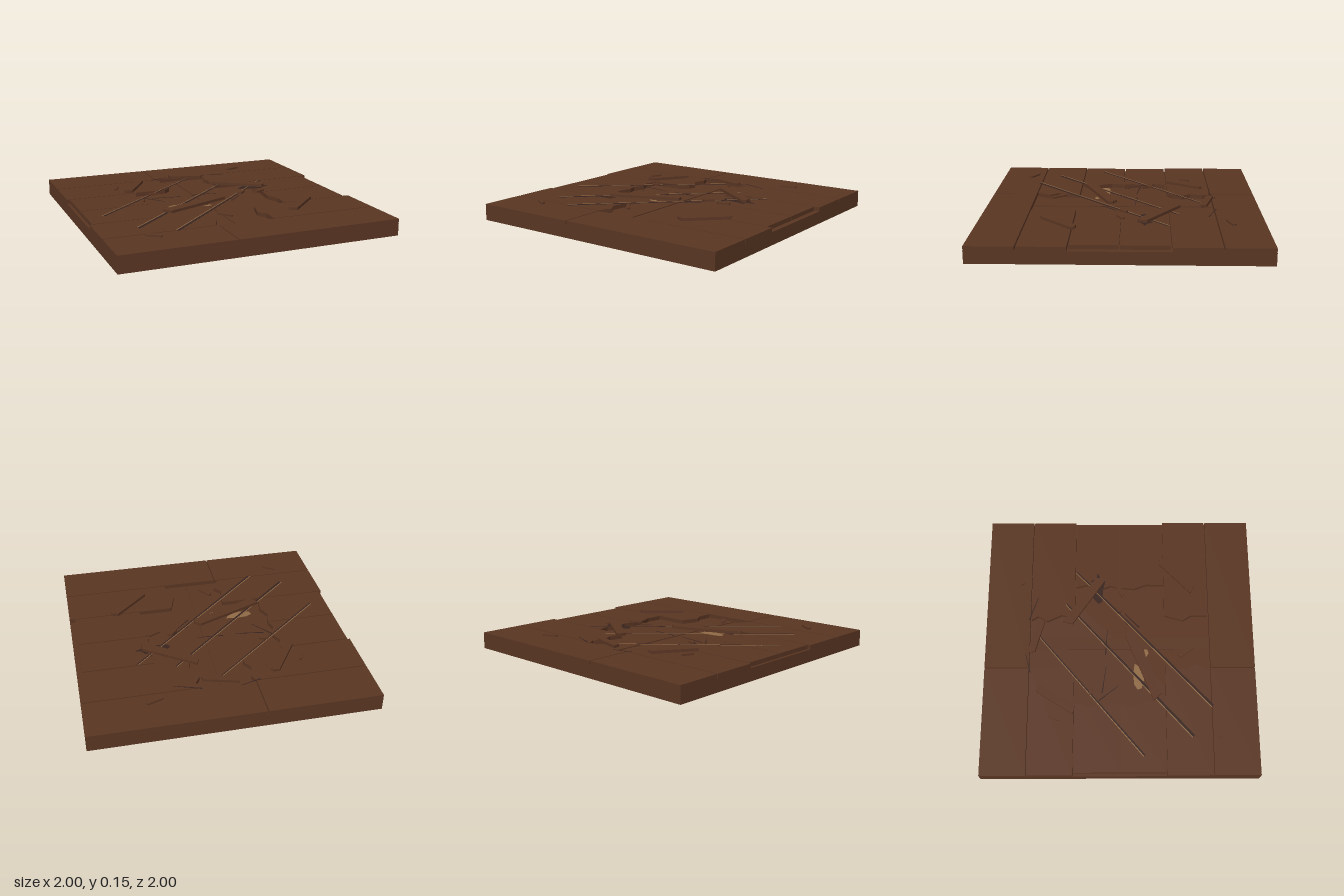
import * as THREE from 'three';

const wood = new THREE.MeshStandardMaterial({ color: 0x593522 });
wood.name = 'brown wood';
const dark = new THREE.MeshStandardMaterial({ color: 0x38241f });
dark.name = 'dark gouge';
const pale = new THREE.MeshStandardMaterial({ color: 0x8f6a45 });
pale.name = 'pale splintered wood';

const BASE = 0.09, TOP = 0.12, GAP = 0.004;

// Flat piece: an outline of [x, z] points raised from y0 to y1
function slab(name, points, y0, y1, material) {
  const shape = new THREE.Shape(points.map(([x, z]) => new THREE.Vector2(x, -z)));
  const geometry = new THREE.ExtrudeGeometry(shape, { depth: y1 - y0, bevelEnabled: false });
  geometry.rotateX(-Math.PI / 2);
  const mesh = new THREE.Mesh(geometry, material);
  mesh.name = name;
  mesh.position.y = y0;
  return mesh;
}

const rect = (x0, x1, z0, z1) => [[x0, z0], [x1, z0], [x1, z1], [x0, z1]];

// Pointed strip between two points: w0 and w1 are the end widths, shift moves it sideways
function strip(name, [x0, z0], [x1, z1], w0, w1, shift, y, material) {
  const l = Math.hypot(x1 - x0, z1 - z0), nx = -(z1 - z0) / l, nz = (x1 - x0) / l;
  const at = (x, z, s) => [x + nx * (s + shift), z + nz * (s + shift)];
  return slab(name, [at(x0, z0, -w0 / 2), at(x1, z1, -w1 / 2), at(x1, z1, w1 / 2), at(x0, z0, w0 / 2)],
    y, y + 0.002, material);
}

// Loose piece of wood with snapped ends
function shard(name, x, z, dx, dz, length, width, y0, y1) {
  const l = length / 2, w = width / 2, n = Math.min(width * 0.35, 0.025);
  const mesh = slab(name, [[-l, -w], [l - n, -w], [l - n * 0.6, -w * 0.3], [l, w * 0.1], [l - n * 0.4, w],
    [-l + n, w], [-l + n * 0.5, w * 0.2]], y0, y1, wood);
  mesh.position.set(x, y0, z);
  mesh.rotation.y = -Math.atan2(dz, dx);
  return mesh;
}

export function createModel() {
  const model = new THREE.Group();
  model.name = 'brokenFloor';

  // Solid underfloor and the joist showing through the hole
  const base = new THREE.Mesh(new THREE.BoxGeometry(2, BASE, 2), wood);
  base.name = 'underfloor';
  base.position.y = BASE / 2;
  model.add(base, slab('joist', rect(-0.05, 0.04, -0.66, 0.66), BASE, 0.096, wood));

  // Whole boards along the front and back
  const outer = new THREE.Group();
  outer.name = 'wholePlanks';
  for (const [z0, z1] of [[-0.999, -0.667 - GAP], [0.667 + GAP, 0.999]]) {
    outer.add(slab('plank', rect(-1, -0.2 - GAP, z0, z1), BASE, TOP, wood));
    outer.add(slab('plank', rect(-0.2 + GAP, 1, z0, z1), BASE, TOP, wood));
  }
  model.add(outer);

  // Snapped boards: outer ends, then the jagged inner edges as [x, fraction of the row]
  const rows = [
    { z: -0.667, ends: [-1, 1],
      left: [[-0.2, 0], [-0.18, 0.18], [-0.21, 0.45], [-0.165, 0.66], [-0.18, 0.85], [-0.23, 1]],
      right: [[0.18, 0], [0.21, 0.15], [0.17, 0.37], [0.22, 0.69], [0.2, 1]] },
    { z: -0.333, ends: [-0.98, 0.96],
      left: [[-0.47, 0], [-0.495, 0.27], [-0.455, 0.54], [-0.49, 0.78], [-0.47, 1]],
      right: [[0.45, 0], [0.47, 0.28], [0.43, 0.55], [0.46, 0.8], [0.445, 1]] },
    { z: 0, ends: [-0.98, 0.96],
      left: [[-0.47, 0], [-0.495, 0.3], [-0.455, 0.58], [-0.48, 1]],
      right: [[0.445, 0], [0.435, 0.33], [0.47, 0.62], [0.465, 1]] },
    { z: 0.333, ends: [-1, 1],
      left: [[-0.19, 0], [-0.2, 0.22], [-0.215, 0.5], [-0.17, 0.68], [-0.22, 1]],
      right: [[0.215, 0], [0.175, 0.43], [0.215, 0.63], [0.215, 1]] },
  ];
  const broken = new THREE.Group();
  broken.name = 'brokenPlanks';
  for (const { z, ends, left, right } of rows) {
    const z0 = z + GAP, z1 = z + 0.3335 - GAP;
    [left, right].forEach((edge, i) => {
      const jagged = edge.map(([x, t]) => [x, z0 + (z1 - z0) * t]);
      broken.add(slab('brokenPlank', [[ends[i], z0], ...jagged, [ends[i], z1]], BASE, TOP, wood));
    });
  }
  model.add(broken);

  // Three long claw marks, each a dark gouge with a pale lip
  const claws = new THREE.Group();
  claws.name = 'clawMarks';
  for (const [a, b, w] of [
    [[-0.86, 0.175], [0.04, -0.59], 0.018],
    [[-0.72, 0.53], [0.31, -0.4], 0.026],
    [[-0.495, 0.675], [0.575, -0.325], 0.024],
  ]) {
    claws.add(strip('gouge', a, b, w, 0.008, 0, TOP + 0.001, dark));
    claws.add(strip('paleLip', a, b, 0.007, 0.005, -w * 0.4, TOP + 0.002, pale));
  }
  model.add(claws);

  // Thin cracks around the hole
  const cracks = new THREE.Group();
  cracks.name = 'cracks';
  for (const [a, b] of [
    [[-0.4, -0.13], [-0.19, -0.1]], [[-0.1, -0.105], [0.095, -0.092]],
    [[-0.455, -0.155], [-0.34, -0.01]], [[0.12, 0.145], [0.23, 0.04]],
    [[0.14, 0.06], [0.27, -0.02]], [[-0.235, -0.66], [-0.09, -0.7]], [[0.18, -0.68], [0.365, -0.615]],
  ]) cracks.add(strip('crack', a, b, 0.009, 0.003, 0, TOP + 0.001, dark));
  model.add(cracks);

  // Dark puncture and pale torn patches
  model.add(slab('puncture', [[0.31, -0.16], [0.37, -0.21], [0.44, -0.19], [0.5, -0.215], [0.52, -0.18],
    [0.565, -0.165], [0.51, -0.14], [0.49, -0.11], [0.43, -0.125], [0.33, -0.13]], TOP, TOP + 0.002, dark));
  model.add(slab('tornPatch', [[-0.37, 0.13], [-0.33, 0.105], [-0.25, 0.1], [-0.17, 0.11], [-0.19, 0.14],
    [-0.24, 0.165], [-0.29, 0.18], [-0.36, 0.16]], TOP, TOP + 0.002, pale));
  model.add(slab('tornChip', [[-0.12, 0.195], [-0.06, 0.18], [-0.06, 0.205], [-0.09, 0.215]],
    TOP, TOP + 0.002, pale));

  // Loose boards: x, z, direction x and z, length, width
  const debris = new THREE.Group();
  debris.name = 'debris';
  for (const p of [
    [0.04, -0.62, 46, 13, 0.27, 0.05], [0.33, -0.265, 70, 48, 0.46, 0.07],
    [-0.18, 0.175, 95, -39, 0.56, 0.075], [-0.44, -0.47, 34, -53, 0.34, 0.06],
    [0.54, 0.435, 46, -45, 0.36, 0.06],
  ]) debris.add(shard('looseBoard', ...p, 0.126, 0.146));
  // Small chips
  for (const p of [
    [0.52, -0.755, 23, -8, 0.125, 0.028], [-0.58, -0.48, 6, -14, 0.09, 0.022],
    [-0.375, -0.21, 13, 1, 0.07, 0.026], [0.41, 0.007, 17, -8, 0.1, 0.03],
    [-0.08, 0.49, 14, 18, 0.13, 0.03], [-0.685, 0.75, 18, 11, 0.115, 0.03],
    [0.27, -0.01, 10, -10, 0.08, 0.03],
  ]) debris.add(shard('woodChip', ...p, 0.127, 0.14));
  model.add(debris);

  return model;
}
